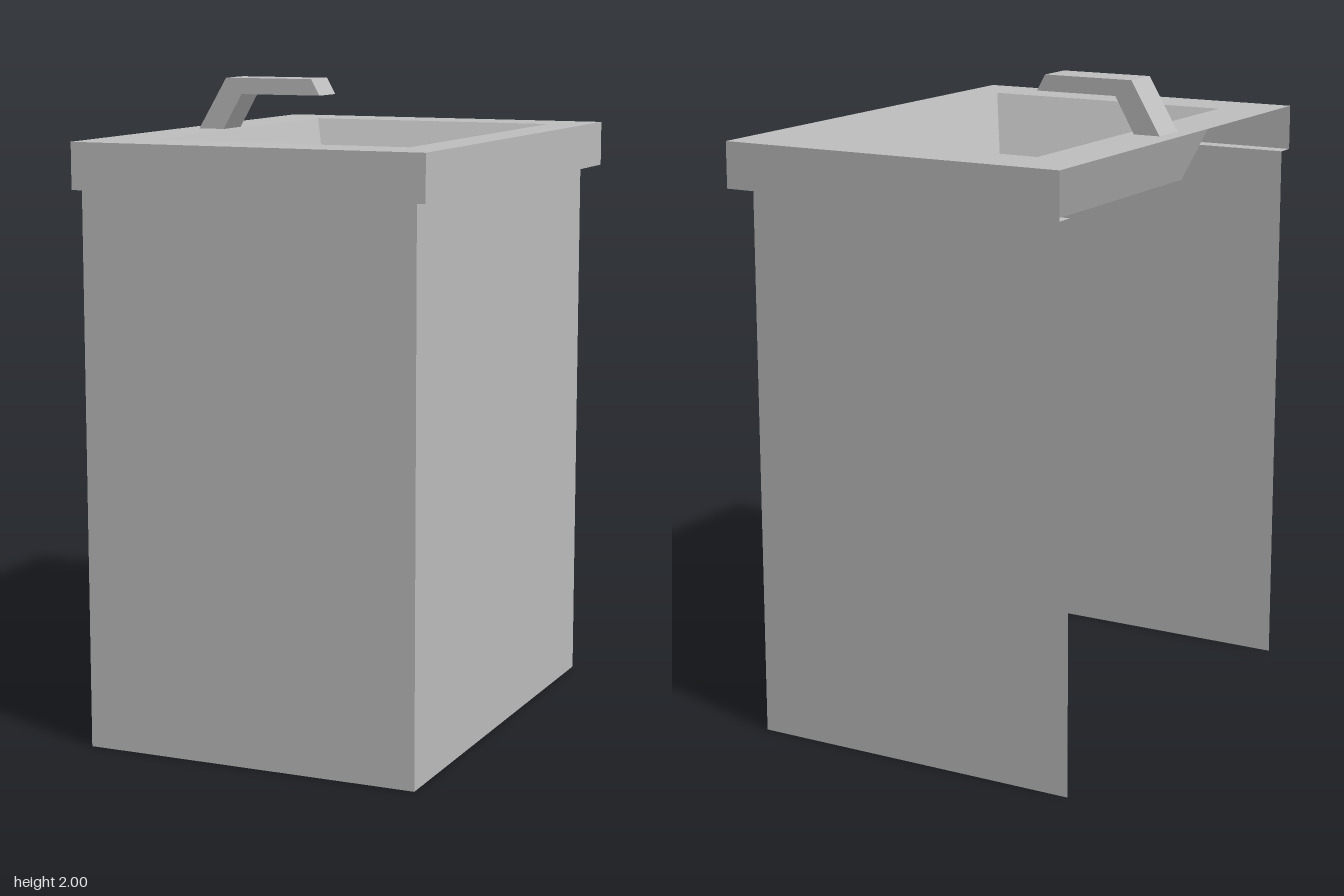
import * as THREE from 'three';

const TOP = 1.84, LIP = 1.7, BACK = -0.555;

const steel = new THREE.MeshStandardMaterial({ color: 0xc0c0c0, side: THREE.DoubleSide });
steel.name = 'light grey';

// Flat-shaded band of quads between two matching rows of [x, y, z] points
function band(name, rowA, rowB, closed = false) {
  const n = rowA.length, pos = [];
  for (let i = 0; i < (closed ? n : n - 1); i++) {
    const j = (i + 1) % n;
    for (const p of [rowA[i], rowA[j], rowB[j], rowA[i], rowB[j], rowB[i]]) pos.push(...p);
  }
  const geo = new THREE.BufferGeometry();
  geo.setAttribute('position', new THREE.Float32BufferAttribute(pos, 3));
  geo.computeVertexNormals();
  const mesh = new THREE.Mesh(geo, steel);
  mesh.name = name;
  return mesh;
}

// Rectangle corners at height y: front left, front right, back right, back left
const rect = (x0, x1, z0, z1, y) => [[x0, y, z1], [x1, y, z1], [x1, y, z0], [x0, y, z0]];

export function createModel() {
  const model = new THREE.Group();
  model.name = 'sinkCabinet';

  const outer = y => rect(BACK, 0.555, -0.77, 0.77, y);
  const body = y => rect(BACK, 0.505, -0.71, 0.71, y);
  const mouth = rect(-0.385, 0.433, -0.59, 0.59, TOP);
  const floor = rect(-0.31, 0.36, -0.483, 0.483, 1.62);

  // Three cabinet panels; the wall side and the bottom stay open
  model.add(band('cabinetPanels', body(0), body(LIP)));

  // Countertop: underside ledge, edge and top surface around the basin
  model.add(band('counterLedge', body(LIP), outer(LIP)));
  model.add(band('counterEdge', outer(LIP), outer(TOP)));
  model.add(band('counterTop', outer(TOP), mouth, true));

  // Basin with sloping walls
  model.add(band('basinWalls', mouth, floor, true));
  model.add(band('basinFloor', [floor[0], floor[1]], [floor[3], floor[2]]));

  // Faucet: bent profile extruded across its width
  const profile = [[-0.5, TOP], [-0.415, TOP], [-0.352, 1.95], [-0.085, 1.95], [-0.113, 2], [-0.405, 2]];
  const shape = new THREE.Shape(profile.map(p => new THREE.Vector2(...p)));
  const faucet = new THREE.Mesh(
    new THREE.ExtrudeGeometry(shape, { depth: 0.12, bevelEnabled: false }).translate(0, 0, -0.06), steel);
  faucet.name = 'faucet';
  model.add(faucet);

  return model;
}
